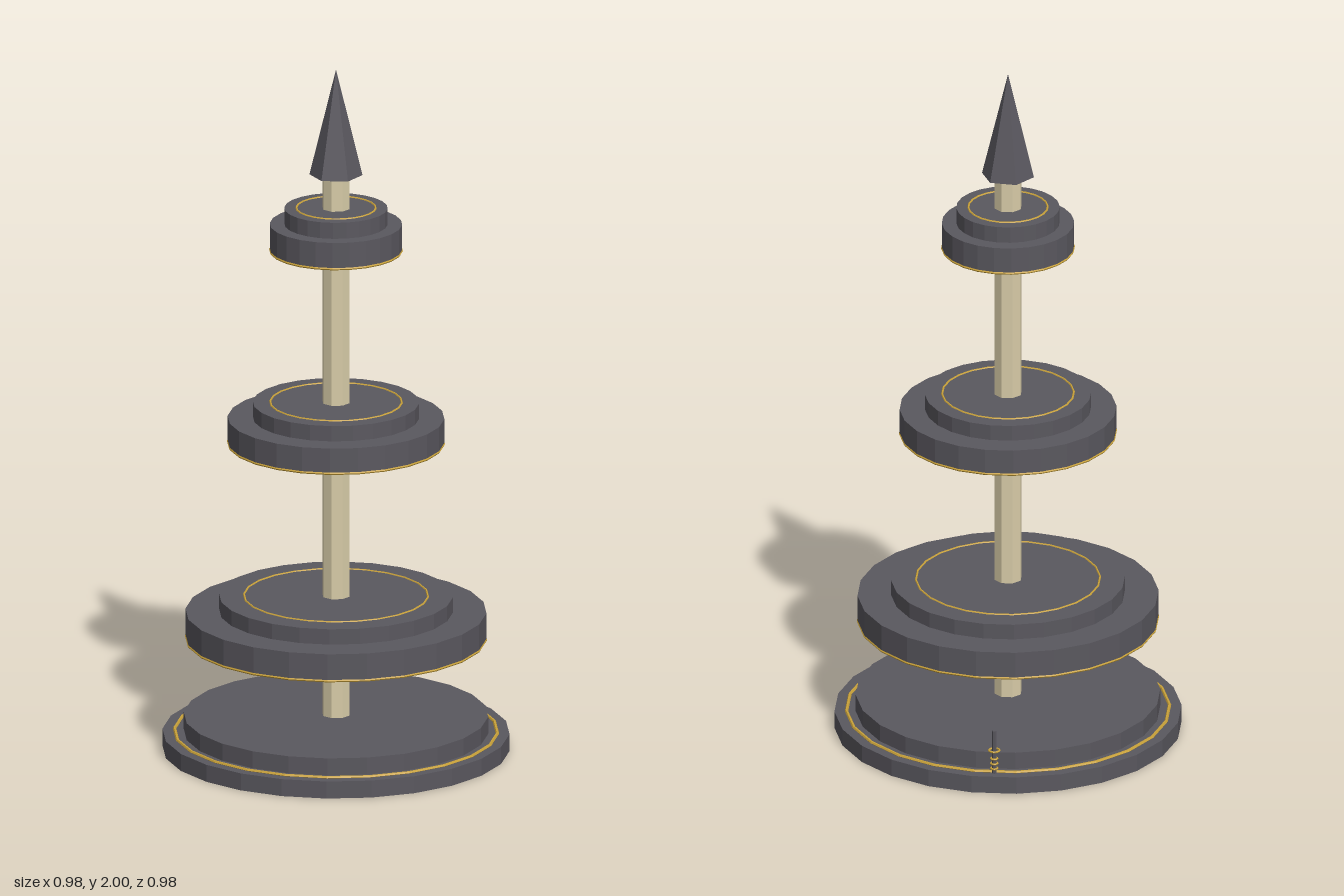
import * as THREE from 'three';

const mat = (name, color) => {
  const m = new THREE.MeshStandardMaterial({ color, flatShading: true });
  m.name = name;
  return m;
};

export function createModel() {
  const slate = mat('slate grey', 0x5a585f);
  const cream = mat('cream', 0xd8cca8);
  const gold = mat('gold', 0xc9a23a);
  const model = new THREE.Group();

  const add = (parent, name, geometry, material, x, y, z) => {
    const mesh = new THREE.Mesh(geometry, material);
    mesh.name = name;
    mesh.position.set(x, y, z);
    parent.add(mesh);
    return mesh;
  };
  // Upright cylinder between two heights
  const drum = (parent, name, r, y0, y1, material = slate, sides = 24, x = 0, z = 0) =>
    add(parent, name, new THREE.CylinderGeometry(r, r, y1 - y0, sides), material, x, (y0 + y1) / 2, z);
  // Thin horizontal trim ring
  const ring = (parent, name, r, tube, y, x = 0, z = 0, sides = 24) =>
    add(parent, name, new THREE.TorusGeometry(r, tube, 6, sides).rotateX(Math.PI / 2), gold, x, y, z);

  // Stepped base
  const base = new THREE.Group();
  base.name = 'base';
  drum(base, 'basePlate', 0.49, 0, 0.05);
  drum(base, 'baseStep', 0.43, 0.05, 0.1);
  ring(base, 'baseTrim', 0.456, 0.005, 0.051);
  model.add(base);

  // Central pole and pointed finial
  drum(model, 'pole', 0.04, 0.09, 1.7, cream, 8);
  add(model, 'finial', new THREE.ConeGeometry(0.075, 0.31, 6), slate, 0, 1.845, 0);

  // Three stepped tiers: lower radius, upper radius, top ring radius, heights
  [
    [0.425, 0.33, 0.26, 0.325, 0.405, 0.45],
    [0.306, 0.235, 0.186, 0.9, 0.975, 1.02],
    [0.187, 0.146, 0.112, 1.467, 1.545, 1.592],
  ].forEach(([r, r2, r3, y0, y1, y2], i) => {
    const tier = new THREE.Group();
    tier.name = `tier${i + 1}`;
    drum(tier, 'lowerDisc', r, y0, y1);
    drum(tier, 'upperDisc', r2, y1, y2);
    ring(tier, 'edgeTrim', r - 0.002, 0.004, y0 + 0.001);
    ring(tier, 'topTrim', r3, 0.003, y2);
    model.add(tier);
  });

  // Small rod with gold collars on the rim at the back
  const [px, pz] = [0.177, -0.424];
  const post = new THREE.Group();
  post.name = 'rimPost';
  drum(post, 'rod', 0.006, 0.05, 0.18, slate, 6, px, pz);
  [0.065, 0.08, 0.095].forEach((y) => ring(post, 'collar', 0.009, 0.003, y, px, pz, 10));
  ring(post, 'guard', 0.015, 0.003, 0.12, px, pz, 12);
  model.add(post);

  return model;
}
